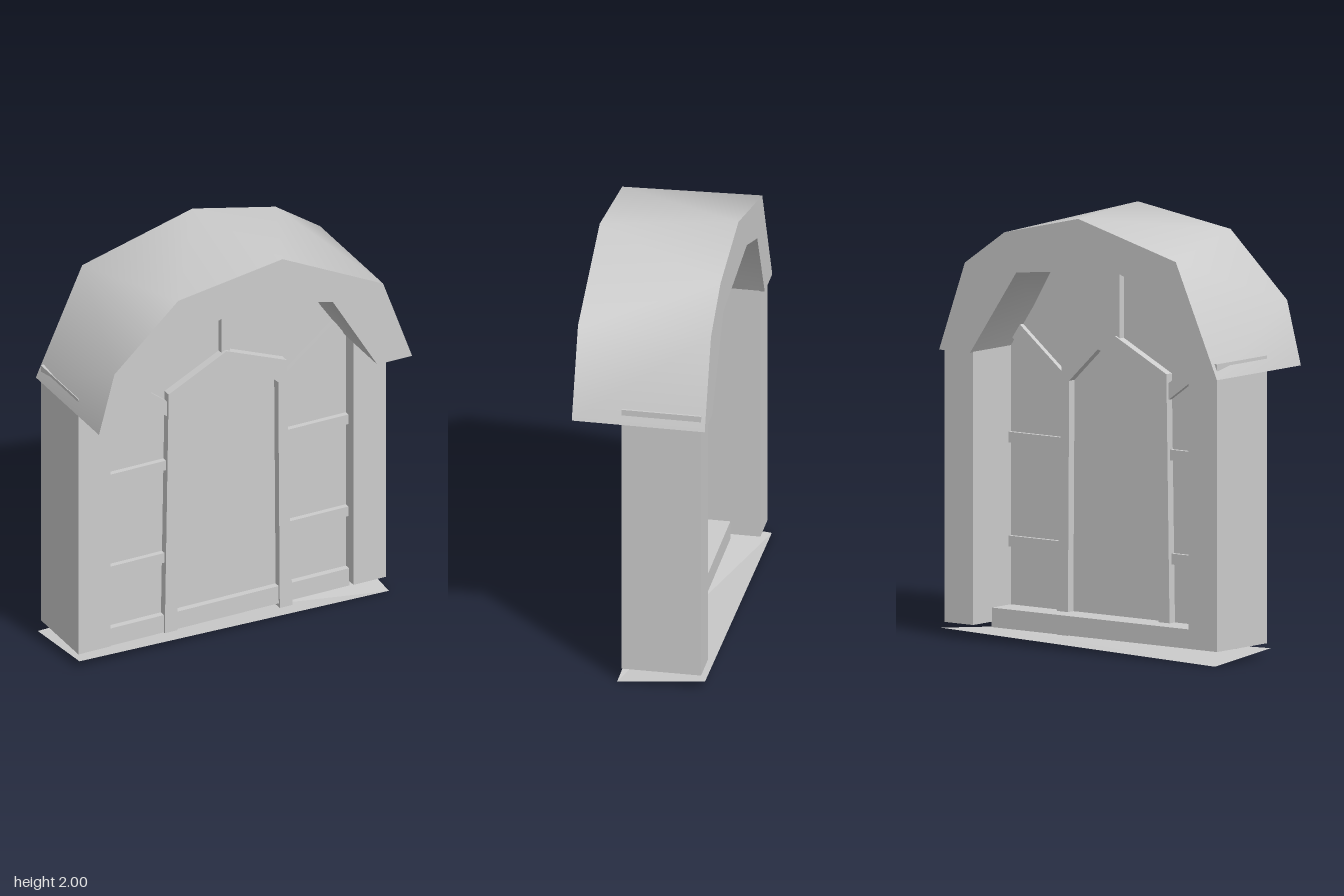
import * as THREE from 'three';

const mat = new THREE.MeshStandardMaterial({ color: 0xcccccc, side: THREE.DoubleSide });

export function createModel() {
  const model = new THREE.Group();

  const add = (name, geometry) => {
    const mesh = new THREE.Mesh(geometry, mat);
    mesh.name = name;
    model.add(mesh);
    return mesh;
  };
  // Box given by its limits on each axis
  const box = (name, x0, x1, y0, y1, z0, z1) => {
    const mesh = add(name, new THREE.BoxGeometry(x1 - x0, y1 - y0, z1 - z0));
    mesh.position.set((x0 + x1) / 2, (y0 + y1) / 2, (z0 + z1) / 2);
    return mesh;
  };
  const shapeOf = pts => new THREE.Shape(pts.map(p => new THREE.Vector2(p[0], p[1])));
  // Outline extruded between two depths
  const slab = (name, pts, z0, z1) => {
    const g = new THREE.ExtrudeGeometry(shapeOf(pts), { depth: z1 - z0, bevelEnabled: false });
    return add(name, g.translate(0, 0, z0));
  };
  // Smooth skin between a front and a back polyline
  const skin = (name, front, back, z, inward) => {
    const n = front.length;
    const pos = [...front.map(p => [...p, z]), ...back.map(p => [...p, -z])].flat();
    const index = [];
    for (let i = 0; i < n - 1; i++) {
      const tris = [[i, i + 1, n + i], [n + i, i + 1, n + i + 1]];
      tris.forEach(t => index.push(...(inward ? t.reverse() : t)));
    }
    const g = new THREE.BufferGeometry();
    g.setAttribute('position', new THREE.Float32BufferAttribute(pos, 3));
    g.setIndex(index);
    g.computeVertexNormals();
    return add(name, g);
  };

  // Hood: the faceted outlines differ between front and back
  const Z = 0.31;
  const outerF = [[-0.81, 1.325], [-0.73, 1.62], [-0.4, 1.92], [0.14, 2], [0.66, 1.74], [0.81, 1.325]];
  const outerB = [[-0.81, 1.325], [-0.57, 1.85], [0, 2], [0.43, 1.9], [0.66, 1.74], [0.81, 1.325]];
  const innerF = [[-0.63, 1.325], [-0.41, 1.7], [0, 1.82], [0.4, 1.71], [0.63, 1.325]];
  const innerB = [[-0.63, 1.325], [-0.45, 1.69], [-0.2, 1.78], [0.36, 1.72], [0.63, 1.325]];
  skin('hoodOuter', outerF, outerB, Z, false);
  skin('hoodInner', innerF, innerB, Z, true);
  const cap = (outer, inner) => new THREE.ShapeGeometry(shapeOf([...outer, ...[...inner].reverse()]));
  add('hoodFront', cap(outerF, innerF)).position.z = Z;
  // The back cap is built mirrored, then turned to face backwards
  const flip = pts => pts.map(([x, y]) => [-x, y]);
  const backCap = add('hoodBack', cap(flip(outerB), flip(innerB)));
  backCap.rotation.y = Math.PI;
  backCap.position.z = -Z;

  for (const s of [-1, 1]) {
    const side = s > 0 ? 'left' : 'right';
    const sided = (name, a, b, ...rest) => box(side + name, Math.min(s * a, s * b), Math.max(s * a, s * b), ...rest);
    // Undersides of the hood ends and the deep posts
    const end = add(side + 'HoodEnd', new THREE.PlaneGeometry(0.18, 2 * Z).rotateX(Math.PI / 2));
    end.position.set(s * 0.72, 1.325, 0);
    sided('Post', 0.628, 0.795, 0.065, 1.395, -0.29, 0.08);
    // Horizontal battens
    for (const y of [0.4, 0.88]) sided('Batten', 0.3, 0.635, y, y + 0.05, -0.03, 0.03);
    // Diagonal brace
    slab(side + 'Brace', [[s * 0.29, 1.22], [s * 0.56, 1.435], [s * 0.61, 1.375], [s * 0.29, 1.145]], -0.035, 0.03);
  }

  // Thin wall panel, tucked into the posts and the hood
  slab('wallPanel', [[-0.69, 0.04], [0.69, 0.04], [0.69, 1.35], [0.48, 1.75], [0, 1.9], [-0.48, 1.75], [-0.69, 1.35]], -0.01, 0.005);
  box('sill', -0.63, 0.63, 0.04, 0.13, -0.15, 0.035);
  box('topStrut', -0.03, 0.015, 1.4, 1.84, -0.04, 0.03);

  // Crooked door frame
  slab('doorFrame', [
    [-0.33, 0.04], [-0.31, 1.28], [-0.01, 1.43], [0.3, 1.305], [0.305, 1.0], [0.33, 0.02],
    [0.265, 0.02], [0.257, 1.2], [0.09, 1.36], [-0.245, 1.24], [-0.265, 0.04],
  ], -0.05, 0.045);

  // Warped ground sheet, folded along one diagonal
  const sheet = new THREE.BufferGeometry();
  const fl = [-0.8, 0.04, 0.1], fr = [0.8, 0, 0.1], br = [0.8, 0.04, -Z], bl = [-0.8, 0, -Z];
  sheet.setAttribute('position', new THREE.Float32BufferAttribute([fl, fr, bl, fr, br, bl].flat(), 3));
  sheet.computeVertexNormals();
  add('groundSheet', sheet);

  return model;
}
